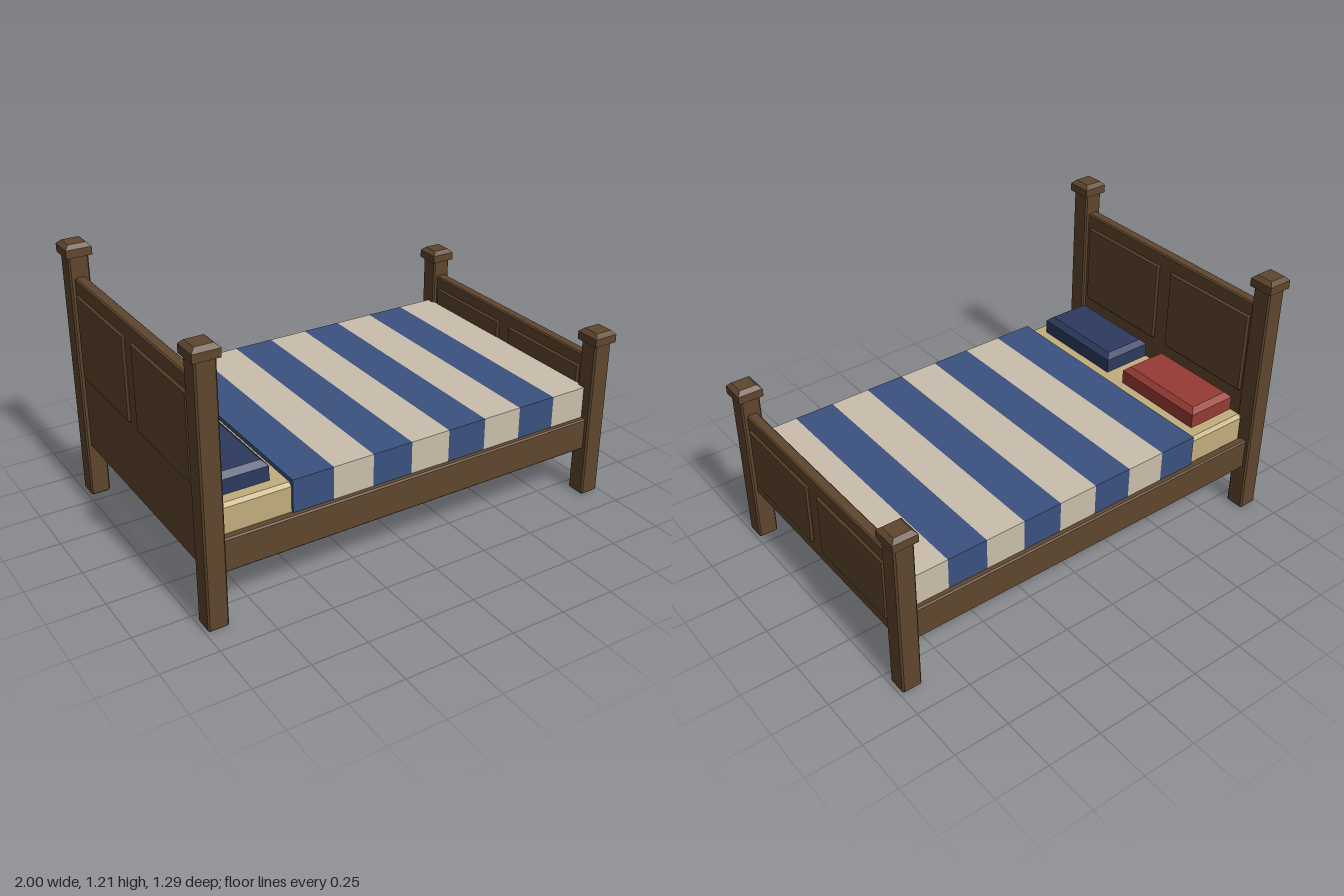
import * as THREE from 'three';
import { ConvexGeometry } from 'three/addons/geometries/ConvexGeometry.js';

const material = (name, color) => {
  const m = new THREE.MeshStandardMaterial({ color });
  m.name = name;
  return m;
};

// Block with a small chamfer along every edge, given by its x, y and z ranges
function chamferBlock([x0, x1], [y0, y1], [z0, z1], c) {
  const half = [(x1 - x0) / 2, (y1 - y0) / 2, (z1 - z0) / 2];
  const points = [];
  for (const sx of [-1, 1]) for (const sy of [-1, 1]) for (const sz of [-1, 1]) {
    for (let axis = 0; axis < 3; axis++) {
      const p = half.map((h, i) => (i === axis ? h : h - c));
      points.push(new THREE.Vector3(sx * p[0], sy * p[1], sz * p[2]));
    }
  }
  return new ConvexGeometry(points).translate((x0 + x1) / 2, (y0 + y1) / 2, (z0 + z1) / 2);
}

// Block with straight sides up to yMid and a sloped rim up to y1
function taperedBlock([x0, x1], [y0, yMid, y1], [z0, z1], inset) {
  const points = [];
  for (const [y, i] of [[y0, 0], [yMid, 0], [y1, inset]]) {
    for (const x of [x0 + i, x1 - i]) for (const z of [z0 + i, z1 - i]) {
      points.push(new THREE.Vector3(x, y, z));
    }
  }
  return new ConvexGeometry(points);
}

export function createModel() {
  const wood = material('brown wood', 0x5e462d);
  const sheet = material('khaki sheet', 0xc2ae7e);
  const blue = material('blue stripe', 0x3a517f);
  const cream = material('cream stripe', 0xcabfac);
  const navy = material('navy pillow', 0x2c3a5f);
  const red = material('red pillow', 0x963a34);

  const bed = new THREE.Group();
  bed.name = 'bed';
  const add = (name, geometry, mat) => {
    const mesh = new THREE.Mesh(geometry, mat);
    mesh.name = name;
    bed.add(mesh);
  };
  const around = (centre, size) => [centre - size / 2, centre + size / 2];

  // Head and foot ends: two capped posts, a board and two raised panels
  const ends = [
    { name: 'head', x: -0.943, post: 1.15, top: 1.055, panel: [0.6, 0.99] },
    { name: 'foot', x: 0.943, post: 0.745, top: 0.667, panel: [0.31, 0.61] },
  ];
  for (const { name, x, post, top, panel } of ends) {
    for (const side of [-1, 1]) {
      const z = side * 0.588;
      add(name + 'Post', chamferBlock(around(x, 0.09), [0, post + 0.01], around(z, 0.09), 0.007), wood);
      add(name + 'PostCap',
        taperedBlock(around(x, 0.114), [post, post + 0.037, post + 0.055], around(z, 0.114), 0.018), wood);
      add(name + 'Panel', chamferBlock(around(x, 0.072), panel, around(side * 0.282, 0.49), 0.008), wood);
    }
    add(name + 'Board', chamferBlock(around(x, 0.05), [0.25, top], [-0.56, 0.56], 0.006), wood);
  }

  // Side rails
  for (const side of [-1, 1]) {
    add('sideRail', chamferBlock([-0.91, 0.91], [0.23, 0.38], around(side * 0.59, 0.04), 0.006), wood);
  }

  add('mattress', chamferBlock([-0.9, 0.9], [0.28, 0.507], [-0.573, 0.573], 0.015), sheet);

  // Blanket made of eight alternating stripes
  const start = -0.58, width = 0.1862;
  for (let i = 0; i < 8; i++) {
    const stripe = new THREE.BoxGeometry(width, 0.152, 1.17);
    stripe.translate(start + (i + 0.5) * width, 0.451, 0);
    add('blanketStripe', stripe, i % 2 ? cream : blue);
  }

  // Pillows
  for (const [side, mat] of [[-1, red], [1, navy]]) {
    add('pillow', taperedBlock([-0.882, -0.64], [0.5, 0.573, 0.596], around(side * 0.281, 0.456), 0.024), mat);
  }

  return bed;
}
